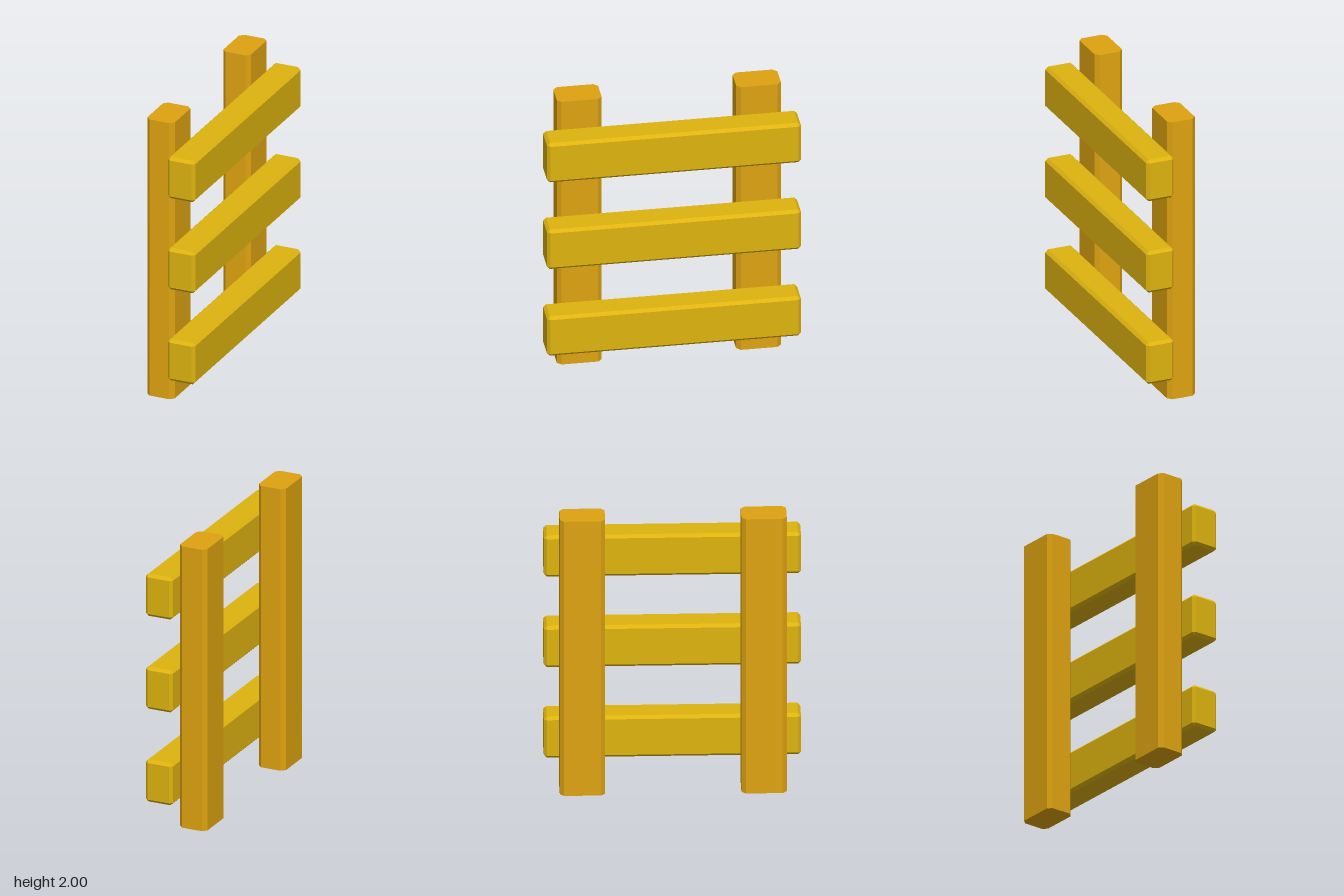
import * as THREE from 'three';
import { ConvexGeometry } from 'three/addons/geometries/ConvexGeometry.js';

// Upright post: chamfered rectangle extruded along y, with flat ends
function postGeometry(w, d, h, c) {
  const x = w / 2, z = d / 2;
  const outline = [
    [x - c, -z], [x, -z + c], [x, z - c], [x - c, z],
    [-x + c, z], [-x, z - c], [-x, -z + c], [-x + c, -z],
  ].map(([a, b]) => new THREE.Vector2(a, b));
  return new THREE.ExtrudeGeometry(new THREE.Shape(outline), { depth: h, bevelEnabled: false })
    .rotateX(-Math.PI / 2);
}

// Box with every edge chamfered
function chamferedBox(w, h, d, c) {
  const points = [];
  for (const sx of [-1, 1]) for (const sy of [-1, 1]) for (const sz of [-1, 1]) {
    const x = w / 2, y = h / 2, z = d / 2;
    points.push(
      new THREE.Vector3(sx * x, sy * (y - c), sz * (z - c)),
      new THREE.Vector3(sx * (x - c), sy * y, sz * (z - c)),
      new THREE.Vector3(sx * (x - c), sy * (y - c), sz * z),
    );
  }
  return new ConvexGeometry(points);
}

export function createModel() {
  const group = new THREE.Group();
  group.name = 'fenceSection';
  const postWood = new THREE.MeshStandardMaterial({ color: 0xdea310 });
  postWood.name = 'post wood';
  const railWood = new THREE.MeshStandardMaterial({ color: 0xdeb30f });
  railWood.name = 'rail wood';

  // Two uprights
  const postGeo = postGeometry(0.2, 0.3, 2, 0.028);
  for (const side of [1, -1]) {
    const post = new THREE.Mesh(postGeo, postWood);
    post.name = side > 0 ? 'frontPost' : 'backPost';
    post.position.set(-0.1, 0, side * 0.6);
    group.add(post);
  }

  // Three horizontal rails fixed to the left faces of the posts
  const railGeo = chamferedBox(0.2, 0.3, 1.7, 0.02);
  ['lowerRail', 'middleRail', 'upperRail'].forEach((name, i) => {
    const rail = new THREE.Mesh(railGeo, railWood);
    rail.name = name;
    rail.position.set(0.1, 0.33 + i * 0.66, 0);
    group.add(rail);
  });

  return group;
}
